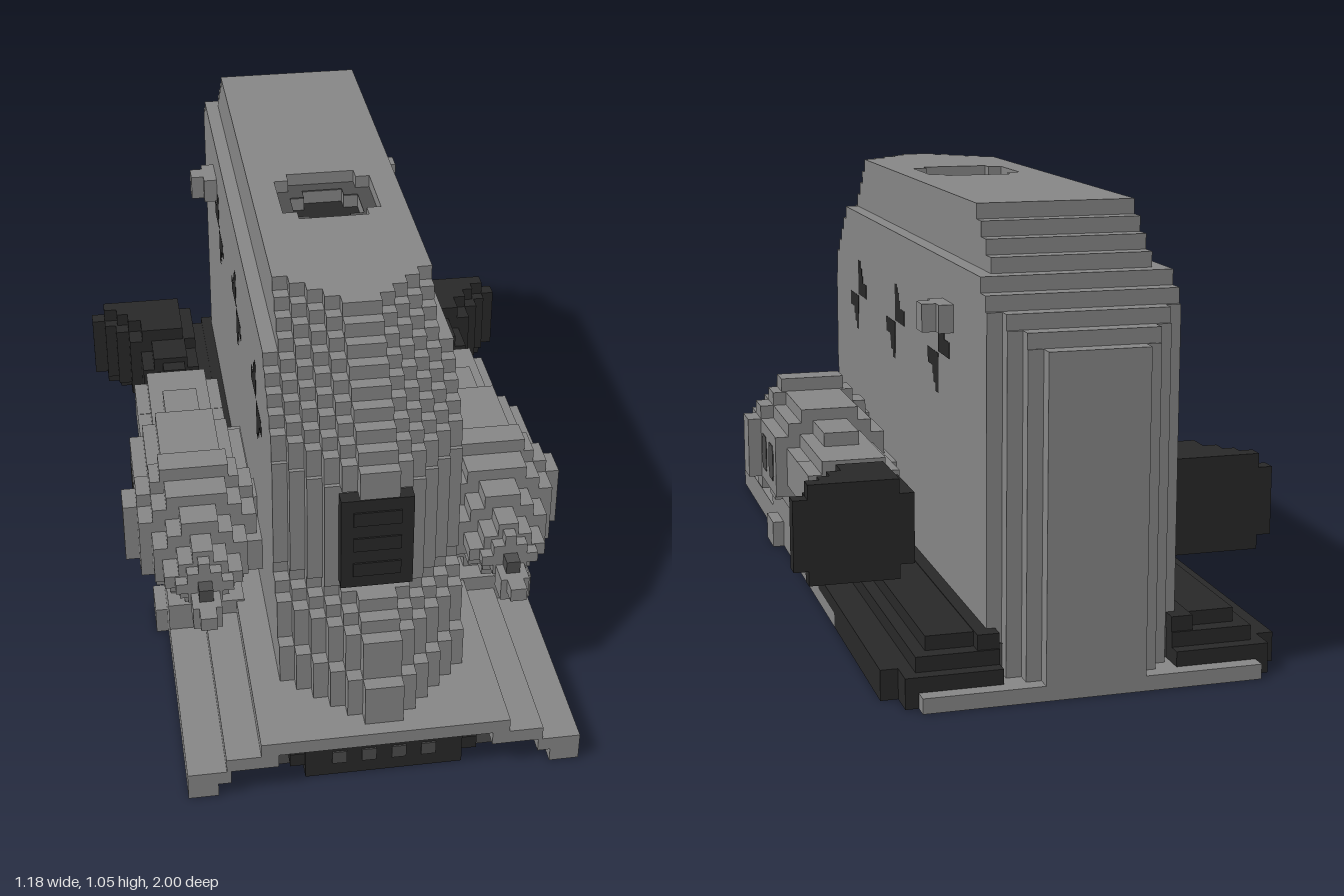
import * as THREE from 'three';

const grey = new THREE.MeshStandardMaterial({ color: 0x868686 });
grey.name = 'hullGrey';
const black = new THREE.MeshStandardMaterial({ color: 0x282828 });
black.name = 'charcoal';
const slate = new THREE.MeshStandardMaterial({ color: 0x4c4c4c });
slate.name = 'slateGrey';

const U = 0.035; // block step

function add(parent, name, geo, mat) {
  const m = new THREE.Mesh(geo, mat);
  m.name = name;
  parent.add(m);
  return m;
}

function box(parent, name, mat, x0, x1, y0, y1, z0, z1) {
  const m = add(parent, name, new THREE.BoxGeometry(x1 - x0, y1 - y0, z1 - z0), mat);
  m.position.set((x0 + x1) / 2, (y0 + y1) / 2, (z0 + z1) / 2);
  return m;
}

// the same box on both sides
function pair(parent, name, mat, x0, x1, ...rest) {
  box(parent, name + 'Left', mat, x0, x1, ...rest);
  box(parent, name + 'Right', mat, -x1, -x0, ...rest);
}

// flat plan (x, z) raised from y by h
function slab(parent, name, mat, shape, y, h) {
  const geo = new THREE.ExtrudeGeometry(shape, { depth: h, bevelEnabled: false });
  geo.rotateX(-Math.PI / 2);
  add(parent, name, geo, mat).position.y = y;
}

// stepped octagon around the roof hatch
function hatchPoints(r) {
  const a = r - U, c = -0.065;
  return [[r, -a], [r, a], [a, a], [a, r], [-a, r], [-a, a], [-r, a], [-r, -a], [-a, -a], [-a, -r], [a, -r], [a, -a]]
    .map(([x, y]) => new THREE.Vector2(x, y + c));
}

// plan of one hull layer: stepped bow and stepped stern
function layerShape(i) {
  const y = i * U;
  let zf, bow = 0.045;
  if (y < 0.22) zf = 0.965;
  else if (y < 0.32) zf = 0.93;
  else if (y < 0.37) zf = 0.895;
  else if (y < 0.41) zf = 0.86;
  else if (y < 0.68) {
    zf = 0.8;
    bow = 0.115;
  } else if (y < 0.76) zf = 0.86;
  else zf = 0.83 - 0.033 * (i - 22);
  const zb = i < 22 ? -1 : -1 + 0.0388 * (i - 21);
  const hw = i < 26 ? 0.22 : 0.185;
  const side = [];
  for (let k = 0; k < 4; k++) {
    const w = Math.min(hw, 0.115 + U * k);
    const z0 = Math.max(zb, -1 + U * k), z1 = Math.max(zb, -1 + U * (k + 1));
    if (z1 > z0) side.push([w, z0], [w, z1]);
  }
  side.push([hw, Math.max(zb, -0.86)]);
  for (let k = 5; k >= 0; k--) {
    const w = Math.min(hw, bow + U * k);
    if (k < 5) side.push([w, zf - U * k - U]);
    side.push([w, zf - U * k]);
  }
  const pts = [...side, ...side.map(([x, z]) => [-x, z]).reverse()]
    .filter((p, n, a) => n === 0 || p[0] !== a[n - 1][0] || p[1] !== a[n - 1][1])
    .map(([x, z]) => new THREE.Vector2(x, -z));
  const s = new THREE.Shape(pts);
  if (i === 29) s.holes.push(new THREE.Path(hatchPoints(0.12)));
  if (i === 28) s.holes.push(new THREE.Path(hatchPoints(0.085)));
  return s;
}

// block with stepped corners: n + 1 crossing boxes
function octBlock(parent, name, mat, z0, z1, hw, hh, n = 2, cx = 0) {
  const a = Math.min(U, hw * 0.4), b = Math.min(U, hh * 0.4);
  for (let t = 0; t <= n; t++) {
    const w = hw - a * t, h = hh - b * (n - t);
    box(parent, name, mat, cx - w, cx + w, -h, h, z0, z1);
  }
}

// stepped hooked triangle painted on the hull side
function sideMark(parent, sx, z, y, dir) {
  const x = sx * 0.2188;
  [0.1, 0.1, 0.055, 0.045, 0.025].forEach((w, k) => {
    const zb = z - dir * w, ya = y + dir * k * 0.019, yb = ya + dir * 0.019;
    box(parent, 'sideMark', black, x - 0.002, x + 0.002, Math.min(ya, yb), Math.max(ya, yb), Math.min(z, zb), Math.max(z, zb));
  });
}

function nacelle(sx) {
  const g = new THREE.Group();
  g.name = sx > 0 ? 'engineLeft' : 'engineRight';
  g.position.set(sx * 0.375, 0.29, 0);
  // body from nose to tail: z range, half width, half height
  [[0.57, 0.6, 0.07, 0.07], [0.5, 0.57, 0.095, 0.085], [0.43, 0.5, 0.115, 0.12],
    [0.05, 0.43, 0.145, 0.15], [0.28, 0.36, 0.18, 0.15], [-0.1, 0.05, 0.115, 0.12]]
    .forEach(p => octBlock(g, 'engineBody', grey, ...p));
  octBlock(g, 'engineTail', grey, -0.25, -0.1, 0.115, 0.085, 1);
  octBlock(g, 'engineNeck', grey, -0.28, -0.25, 0.08, 0.06, 1);
  box(g, 'topRib', grey, -0.085, 0.085, 0.1, 0.185, 0.29, 0.36);
  box(g, 'noseTip', grey, -0.035, 0.035, -0.075, -0.015, 0.6, 0.66);
  box(g, 'noseTip', grey, -0.02, 0.02, -0.05, -0.015, 0.66, 0.7);
  box(g, 'noseSensor', slate, -0.017, 0.017, -0.015, 0.018, 0.6, 0.636);
  // flaring nozzle: z range, inner and outer edge, half height
  [[-0.32, -0.28, -0.05, 0.05, 0.07], [-0.42, -0.32, -0.07, 0.085, 0.085], [-0.48, -0.42, -0.07, 0.115, 0.12],
    [-0.52, -0.48, -0.07, 0.15, 0.12], [-0.55, -0.52, -0.07, 0.18, 0.12], [-0.59, -0.55, -0.07, 0.215, 0.12]]
    .forEach(([z0, z1, xi, xo, hh]) => octBlock(g, 'nozzle', black, z0, z1, (xo - xi) / 2, hh, 1, sx * (xi + xo) / 2));
  // strut to the hull and outer vents
  const a = -sx * 0.13;
  box(g, 'strut', grey, a - 0.04, a + 0.04, -0.07, 0.02, -0.05, 0.46);
  for (const z of [0.225, 0.12]) {
    const x = sx * 0.1437;
    box(g, 'vent', slate, x - 0.002, x + 0.002, -0.03, 0.03, z - 0.033, z + 0.033);
    box(g, 'vent', slate, x - 0.002, x + 0.002, -0.047, 0.047, z - 0.02, z + 0.02);
    // backing that carries the vent past the stepped corners
    const b = sx * 0.13;
    box(g, 'ventFrame', grey, b - 0.015, b + 0.015, -0.08, 0.08, z - 0.045, z + 0.045);
    box(g, 'vent', slate, sx * 0.1455 - 0.0015, sx * 0.1455 + 0.0015, -0.047, 0.047, z - 0.025, z + 0.025);
    box(g, 'vent', slate, sx * 0.1455 - 0.0015, sx * 0.1455 + 0.0015, -0.035, 0.035, z - 0.033, z + 0.033);
  }
  return g;
}

function base() {
  const g = new THREE.Group();
  g.name = 'base';
  // stepped deck
  box(g, 'deck', grey, -0.29, 0.29, 0.105, 0.14, 0.08, 1);
  box(g, 'rearDeck', grey, -0.21, 0.21, 0.105, 0.14, -0.85, 0.08);
  pair(g, 'deckStep', grey, 0.25, 0.37, 0.07, 0.105, 0.08, 1);
  pair(g, 'deckEdge', grey, 0.36, 0.46, 0.035, 0.07, -0.2, 1);
  pair(g, 'runner', grey, 0.39, 0.46, 0, 0.035, -0.4, 1);
  pair(g, 'outerBlock', grey, 0.45, 0.49, 0, 0.07, 0.3, 0.4);
  pair(g, 'engineMount', grey, 0.27, 0.46, 0.06, 0.145, 0.085, 0.48);
  // low stern plate and the hull's stepped foot on it
  box(g, 'sternPlate', grey, -0.39, 0.39, 0, 0.035, -1, -0.9);
  for (let k = 0; k < 4; k++)
    box(g, 'sternFoot', grey, -0.115 - U * k, 0.115 + U * k, 0.035, 0.14, -1 + U * k, -0.8);
  // dark rear skirts in three tiers
  pair(g, 'skirtTop', black, 0.2, 0.25, 0.1, 0.14, -0.93, 0.07);
  pair(g, 'skirtTop', black, 0.2, 0.36, 0.1, 0.138, -0.9, -0.2);
  pair(g, 'skirtMiddle', black, 0.2, 0.39, 0.07, 0.105, -0.935, 0.08);
  pair(g, 'skirtLow', black, 0.36, 0.46, 0.035, 0.07, -0.9, -0.2);
  pair(g, 'skirtLow', black, 0.2, 0.42, 0.035, 0.07, -0.965, -0.88);
  pair(g, 'skirtFoot', black, 0.39, 0.46, 0, 0.035, -0.9, -0.4);
  pair(g, 'skirtFoot', black, 0.385, 0.42, 0, 0.035, -0.965, -0.9);
  // underside ribs and recessed panels
  pair(g, 'innerRail', slate, 0.24, 0.28, 0.02, 0.105, -0.9, 0.88);
  for (const z of [-0.87, -0.1, 0.62]) box(g, 'crossRib', slate, -0.25, 0.25, 0.02, 0.105, z - 0.03, z + 0.03);
  for (let z = -0.85; z < 0.8; z += 0.28) pair(g, 'sideRib', slate, 0.27, 0.395, 0.02, 0.06, z, z + 0.1);
  box(g, 'frontPit', black, -0.24, 0.24, 0.075, 0.106, -0.1, 0.88);
  box(g, 'rearPit', slate, -0.24, 0.24, 0.045, 0.1, -0.9, -0.1);
  // front bumper with lamps and the wedges beside it
  box(g, 'bumper', black, -0.185, 0.185, 0, 0.104, 0.88, 0.97);
  box(g, 'bumper', black, -0.22, 0.22, 0.035, 0.07, 0.88, 0.967);
  for (const x of [-0.105, -0.035, 0.035, 0.105])
    box(g, 'bumperLamp', slate, x - 0.017, x + 0.017, 0.036, 0.07, 0.967, 0.974);
  box(g, 'bumperNotch', slate, -0.03, 0.03, 0.09, 0.104, 0.967, 0.973);
  for (let k = 0; k < 5; k++)
    pair(g, 'bumperWedge', slate, 0.18, 0.39 - k * 0.034, k * 0.02, k * 0.02 + 0.02, 0.86, 0.92);
  return g;
}

export function createModel() {
  const root = new THREE.Group();
  root.name = 'blockCraft';

  // hull stacked in layers
  const hull = new THREE.Group();
  hull.name = 'hull';
  for (let i = 4; i < 30; i++) slab(hull, 'hullLayer', grey, layerShape(i), i * U, U);
  root.add(hull);

  // roof hatch
  const ring = new THREE.Shape(hatchPoints(0.12));
  ring.holes.push(new THREE.Path(hatchPoints(0.085)));
  slab(root, 'hatchRing', slate, ring, 29 * U, 0.004);
  slab(root, 'hatchFloor', black, new THREE.Shape(hatchPoints(0.085)), 28 * U, 0.004);

  // bow grille
  box(root, 'grille', black, -0.083, 0.083, 0.44, 0.68, 0.79, 0.835);
  for (const y of [0.49, 0.56, 0.63])
    box(root, 'grilleBar', black, -0.055, 0.055, y - 0.018, y + 0.018, 0.832, 0.839);

  // side boxes and painted marks
  pair(root, 'sideBox', grey, 0.21, 0.255, 0.75, 0.815, -0.625, -0.525);
  pair(root, 'sideBoxTip', grey, 0.25, 0.288, 0.75, 0.815, -0.6, -0.55);
  for (const sx of [1, -1]) {
    for (const z of [0.394, -0.048, -0.488]) {
      sideMark(root, sx, z, 0.683, 1);
      sideMark(root, sx, z, 0.678, -1);
    }
    root.add(nacelle(sx));
  }

  root.add(base());
  return root;
}
